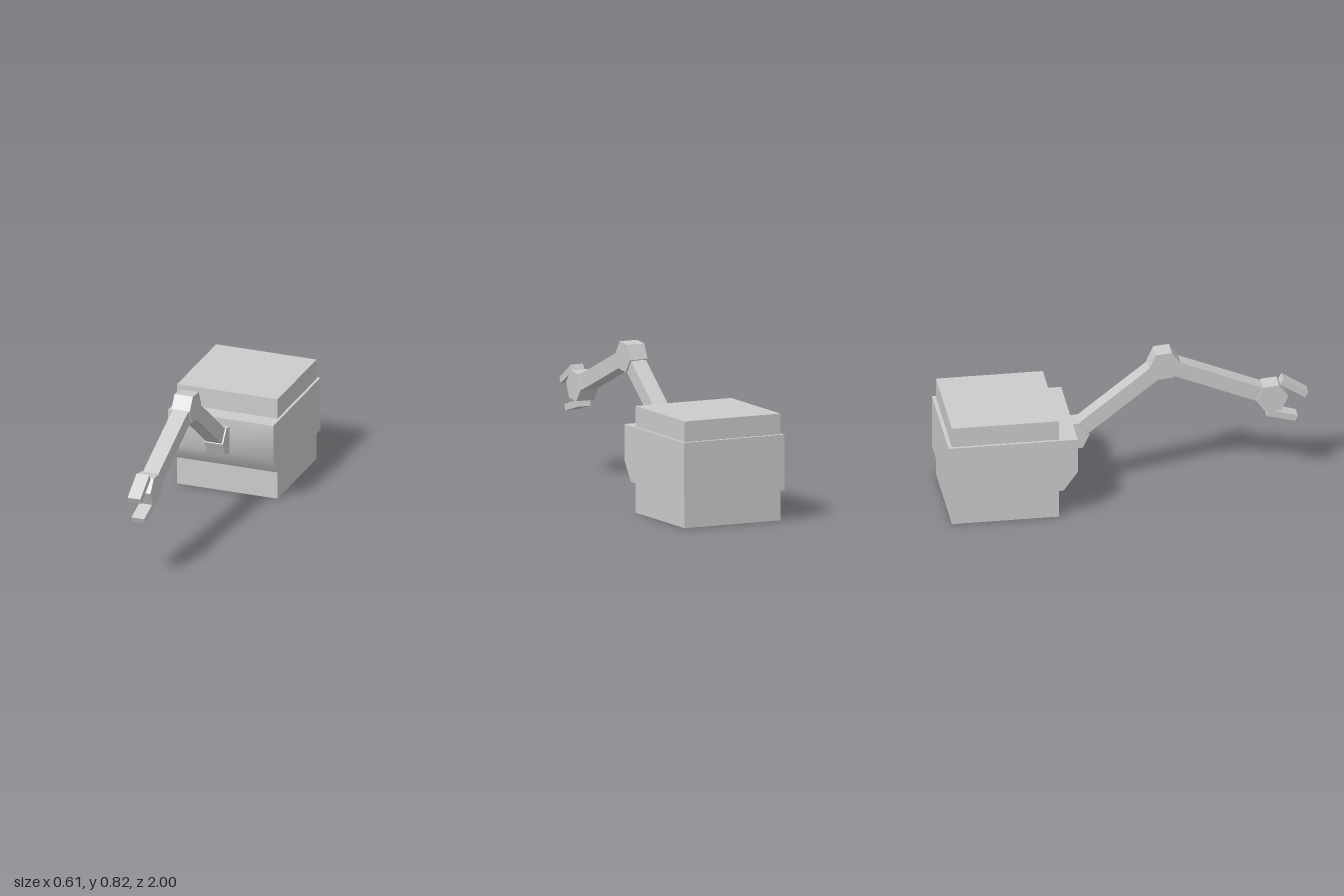
import * as THREE from 'three';
import { toCreasedNormals } from 'three/addons/utils/BufferGeometryUtils.js';

const material = new THREE.MeshStandardMaterial({ color: 0xcccccc });

// Side profile given as [z, y] points, extruded symmetrically across x
function slab(name, points, halfWidth, crease = 0) {
  const shape = new THREE.Shape(points.map(([z, y]) => new THREE.Vector2(z, y)));
  let geometry = new THREE.ExtrudeGeometry(shape, { depth: 2 * halfWidth, bevelEnabled: false });
  geometry.translate(0, 0, -halfWidth).rotateY(-Math.PI / 2);
  if (crease) geometry = toCreasedNormals(geometry, crease);
  const mesh = new THREE.Mesh(geometry, material);
  mesh.name = name;
  return mesh;
}

// Hexagonal joint with its axis along x
function joint(name, [z, y]) {
  const points = [];
  for (let i = 0; i < 6; i++) {
    const a = THREE.MathUtils.degToRad(5 + 60 * i);
    points.push([z + 0.087 * Math.cos(a), y + 0.087 * Math.sin(a)]);
  }
  return slab(name, points, 0.053);
}

// Square beam between two joint centres
function beam(name, [z0, y0], [z1, y1]) {
  const length = Math.hypot(z1 - z0, y1 - y0);
  const mesh = new THREE.Mesh(new THREE.BoxGeometry(0.09, 0.085, length), material);
  mesh.position.set(0, (y0 + y1) / 2, (z0 + z1) / 2);
  mesh.rotation.x = -Math.atan2(y1 - y0, z1 - z0);
  mesh.name = name;
  return mesh;
}

export function createModel() {
  const model = new THREE.Group();
  model.name = 'robotArm';

  // Body block with a wider collar, chamfered softly under its front
  model.add(slab('body', [[-0.98, 0], [-0.397, 0], [-0.397, 0.583], [-0.98, 0.583]], 0.29));
  model.add(slab('collar',
    [[-1, 0.165], [-0.373, 0.165], [-0.295, 0.274], [-0.295, 0.47], [-1, 0.47]], 0.305, 0.75));

  // Jointed arm
  const shoulder = [-0.28, 0.354], elbow = [0.218, 0.744], wrist = [0.803, 0.499];
  model.add(joint('shoulder', shoulder), joint('elbow', elbow), joint('wrist', wrist));
  model.add(beam('upperArm', shoulder, elbow), beam('forearm', elbow, wrist));

  // Gripper
  model.add(slab('upperFinger',
    [[1, 0.516], [0.865, 0.605], [0.847, 0.573], [0.985, 0.485]], 0.037));
  model.add(slab('lowerFinger',
    [[0.944, 0.378], [0.785, 0.425], [0.773, 0.388], [0.93, 0.346]], 0.037));

  return model;
}
